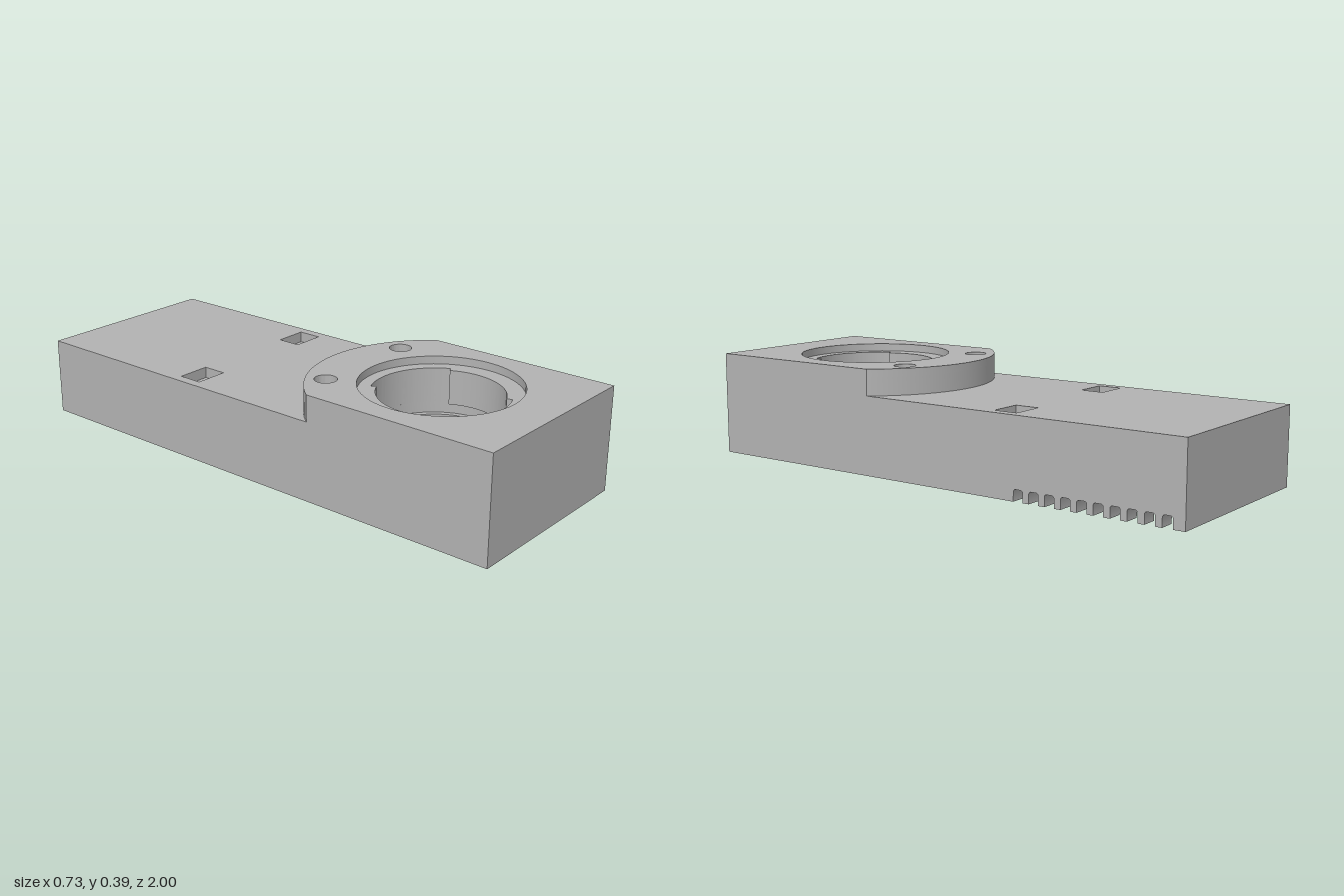
import * as THREE from 'three';
import { toCreasedNormals } from 'three/addons/utils/BufferGeometryUtils.js';

const W = 0.365;        // half width
const L = 1;            // half length
const WALL = 0.06;
const CEILING = 0.153;  // underside of the solid deck
const CZ = 0.555;       // z of the round opening
const LIP = 0.22, GROOVE = 0.24, DISC = 0.46;

// Plan shapes are drawn with shape-y = -z
function rect(Type, x0, x1, z0, z1) {
  const s = new Type();
  s.moveTo(x0, -z1);
  s.lineTo(x1, -z1);
  s.lineTo(x1, -z0);
  s.lineTo(x0, -z0);
  s.closePath();
  return s;
}

function circle(Type, x, z, r) {
  const s = new Type();
  s.absarc(x, -z, r, 0, Math.PI * 2, false);
  return s;
}

// Round bore with two opposite entry notches
function notchedBore() {
  const p = new THREE.Path();
  const a = [27, 115, 207, 295, 387].map(THREE.MathUtils.degToRad);
  for (let i = 0; i < 4; i++) {
    p.absarc(0, -CZ, i % 2 ? LIP : GROOVE, a[i], a[i + 1], false);
  }
  p.closePath();
  return p;
}

// Front block whose rear edge is an arc around the opening
function raisedOutline() {
  const a = Math.acos(W / DISC);
  const s = new THREE.Shape();
  s.moveTo(-W, -L);
  s.lineTo(W, -L);
  s.absarc(0, -CZ, DISC, a, Math.PI - a, false);
  s.closePath();
  return s;
}

// Side profile of the wall with round-topped slots along its lower edge
function slottedProfile() {
  const s = new THREE.Shape();
  const w = 0.037, h = 0.042, r = 0.01;
  s.moveTo(-L, 0);
  for (let i = 0; i < 10; i++) {
    const z = -0.957 + i * 0.0618;
    s.lineTo(z, 0);
    s.lineTo(z, h - r);
    s.quadraticCurveTo(z, h, z + r, h);
    s.lineTo(z + w - r, h);
    s.quadraticCurveTo(z + w, h, z + w, h - r);
    s.lineTo(z + w, 0);
  }
  s.lineTo(L, 0);
  s.lineTo(L, CEILING);
  s.lineTo(-L, CEILING);
  s.closePath();
  return s;
}

export function createModel() {
  const group = new THREE.Group();
  const grey = new THREE.MeshStandardMaterial({ color: 0xb2b2b2 });
  grey.name = 'plain grey';

  const add = (name, geometry) => {
    const mesh = new THREE.Mesh(geometry, grey);
    mesh.name = name;
    group.add(mesh);
    return mesh;
  };

  const extrude = (shape, depth) => toCreasedNormals(
    new THREE.ExtrudeGeometry(shape, { depth, bevelEnabled: false, curveSegments: 40 }), 0.5);

  // Horizontal layer between two heights, with holes
  const layer = (name, y0, y1, outline, holes) => {
    outline.holes.push(...holes);
    const g = extrude(outline, y1 - y0);
    g.rotateX(-Math.PI / 2);
    g.translate(0, y0, 0);
    return add(name, g);
  };
  const plate = () => rect(THREE.Shape, -W, W, -L, L);
  const bore = (r) => circle(THREE.Path, 0, CZ, r);
  const sides = [-1, 1];

  // Hollow underside: three plain walls and one slotted wall
  const box = (name, w, d, x, z) => {
    const g = new THREE.BoxGeometry(w, CEILING, d);
    g.translate(x, CEILING / 2, z);
    add(name, g);
  };
  box('rightWall', WALL, 2 * L, -W + WALL / 2, 0);
  for (const s of sides) {
    box(s > 0 ? 'frontWall' : 'backWall', 2 * (W - WALL), WALL, 0, s * (L - WALL / 2));
  }
  const slotted = extrude(slottedProfile(), WALL);
  slotted.rotateY(-Math.PI / 2); // profile x -> z, depth -> -x
  slotted.translate(W, 0, 0);
  add('slottedLeftWall', slotted);

  // Tube below the opening
  layer('socketTube', 0, CEILING, circle(THREE.Shape, 0, CZ, 0.288), [bore(LIP)]);

  // Deck: ledge, groove, notched lip, then the layer with two shallow pockets
  const pockets = sides.map((s) =>
    rect(THREE.Path, s * 0.267 - 0.062, s * 0.267 + 0.062, -0.35, -0.26));
  layer('deckLedge', CEILING, 0.19, plate(), [bore(LIP)]);
  layer('deckGroove', 0.19, 0.23, plate(), [bore(GROOVE)]);
  layer('deckLip', 0.23, 0.25, plate(), [notchedBore()]);
  layer('deckTop', 0.25, 0.29, plate(), [notchedBore(), ...pockets]);

  // Raised front block with two round holes and a shallow recess
  const pinHoles = () => sides.map((s) => circle(THREE.Path, s * 0.21, 0.228, 0.04));
  layer('raisedBlock', 0.29, 0.357, raisedOutline(), [notchedBore(), ...pinHoles()]);
  layer('raisedRim', 0.357, 0.386, raisedOutline(), [bore(0.283), ...pinHoles()]);

  return group;
}
